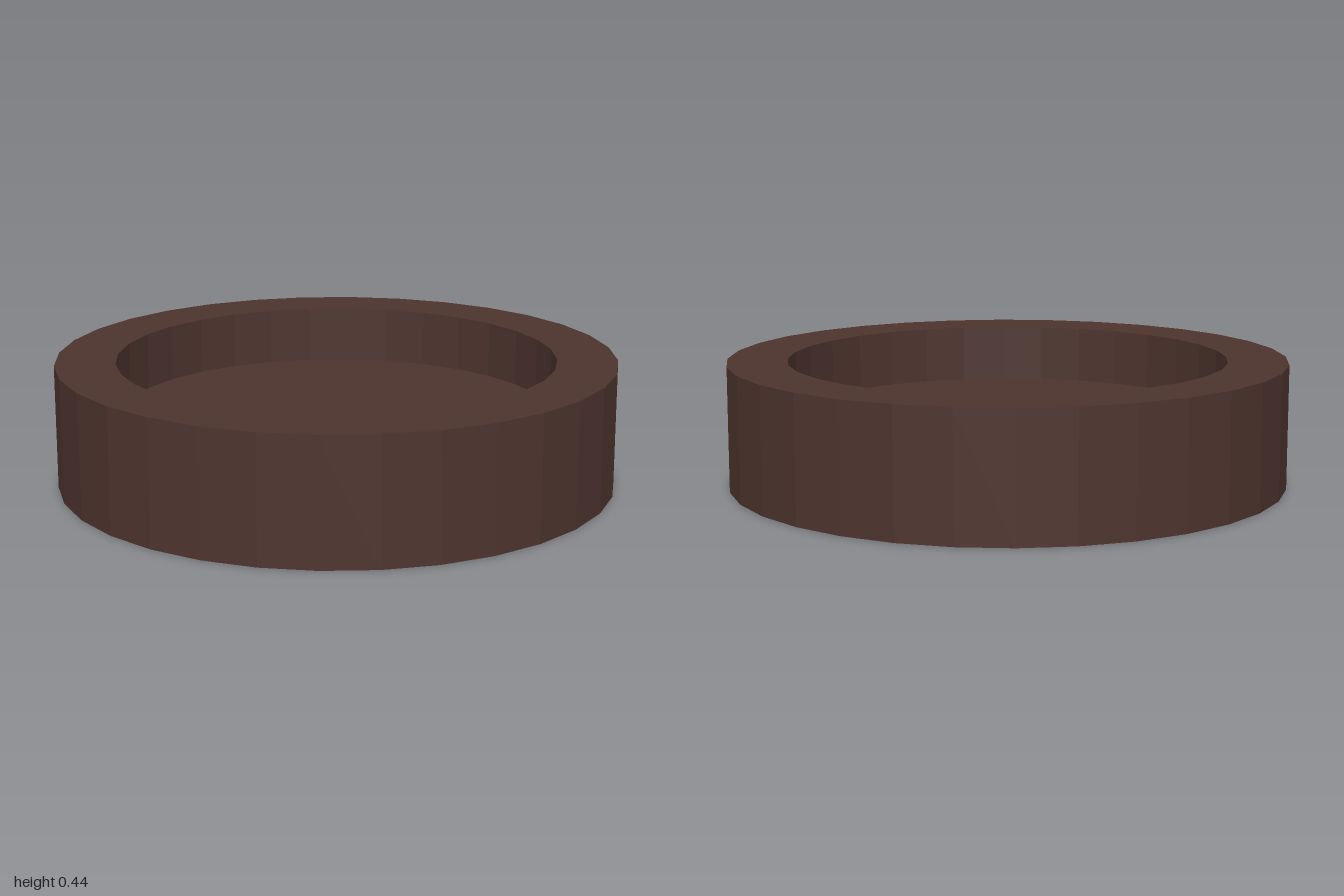
import * as THREE from 'three';

const SIDES = 32;
const OUTER = 1, INNER = 0.785;
const HEIGHT = 0.445, FLOOR = 0.238;

export function createModel() {
  const group = new THREE.Group();
  group.name = 'shallowDish';
  const material = new THREE.MeshStandardMaterial({ color: 0x4e342e, flatShading: true });

  // Closed ring wall: outside, flat rim, then down the inside
  const profile = [
    [OUTER, 0], [OUTER, HEIGHT], [INNER, HEIGHT], [INNER, FLOOR],
  ].map(([r, y]) => new THREE.Vector2(r, y));
  const wall = new THREE.LatheGeometry(profile, SIDES).toNonIndexed();
  wall.computeVertexNormals();

  const addPart = (name, geometry) => {
    const mesh = new THREE.Mesh(geometry, material);
    mesh.name = name;
    group.add(mesh);
    return mesh;
  };
  addPart('rimWall', wall);

  // Recessed floor facing up and base facing down
  const floor = addPart('recessedFloor', new THREE.CircleGeometry(INNER, SIDES));
  floor.rotation.x = -Math.PI / 2;
  floor.position.y = FLOOR;
  const base = addPart('base', new THREE.CircleGeometry(OUTER, SIDES));
  base.rotation.x = Math.PI / 2;

  return group;
}
